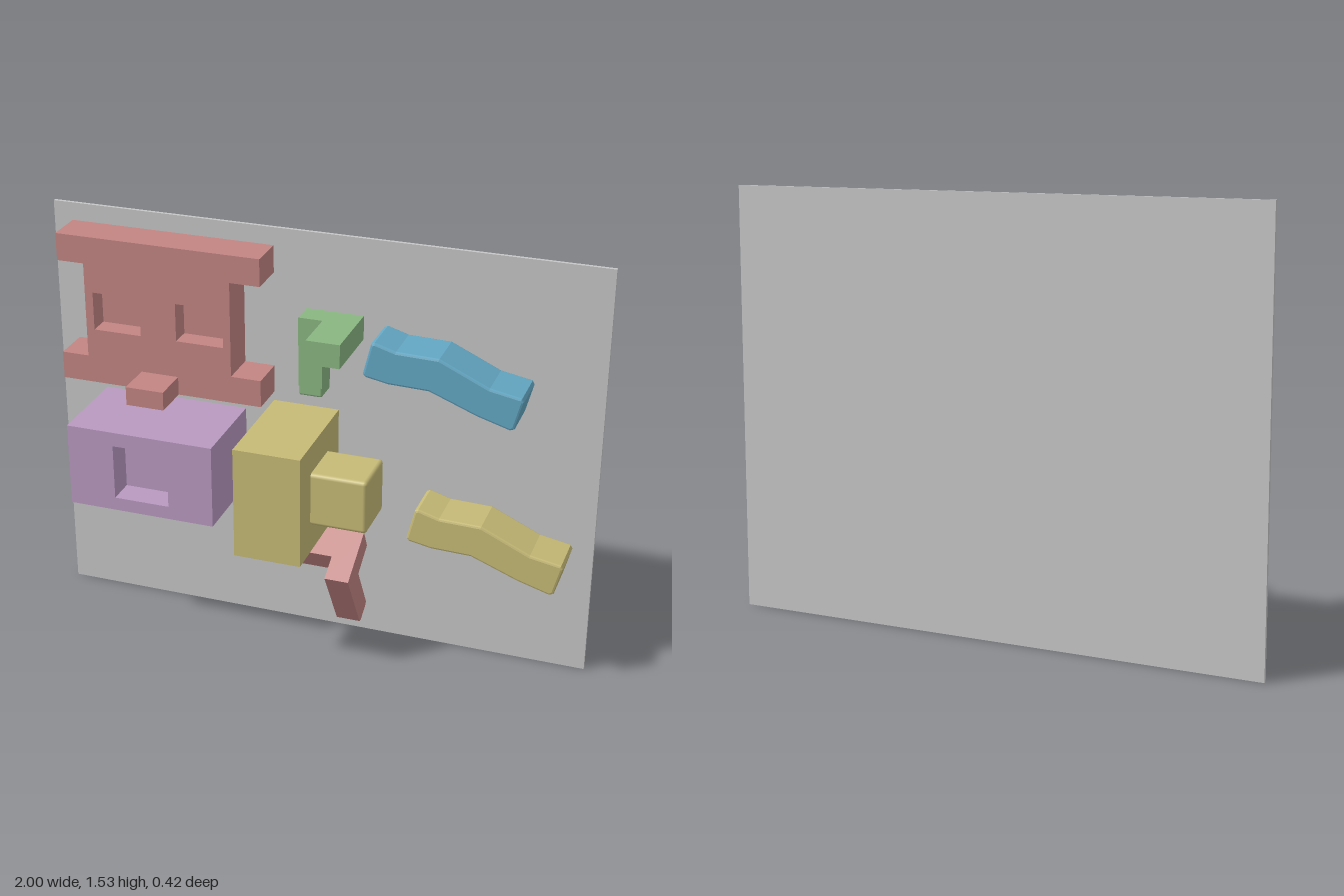
import * as THREE from 'three';
import { RoundedBoxGeometry } from 'three/addons/geometries/RoundedBoxGeometry.js';

const mat = (name, color) => {
  const m = new THREE.MeshStandardMaterial({ color });
  m.name = name;
  return m;
};

const BACK = -0.2; // face of the board that the parts sit on

const toShape = (pts) => new THREE.Shape(pts.map(([x, y]) => new THREE.Vector2(x, y)));
const rect = (x0, x1, y0, y1) => [[x0, y0], [x1, y0], [x1, y1], [x0, y1]];

export function createModel() {
  const model = new THREE.Group();
  const grey = mat('board grey', 0xc6c6c6);
  const red = mat('dusty red', 0xc28583);
  const purple = mat('soft purple', 0xb899c0);
  const yellow = mat('mustard yellow', 0xc6ba76);
  const green = mat('leaf green', 0x8ab682);
  const blue = mat('sky blue', 0x64a8c4);

  const add = (name, geo, material, parent = model) => {
    const mesh = new THREE.Mesh(geo, material);
    mesh.name = name;
    parent.add(mesh);
    return mesh;
  };
  const group = (name) => {
    const g = new THREE.Group();
    g.name = name;
    model.add(g);
    return g;
  };
  // Box given by its limits on each axis, with optional rounded edges
  const box = (name, [x0, x1], [y0, y1], [z0, z1], material, parent, r = 0) => {
    const size = [x1 - x0, y1 - y0, z1 - z0];
    const geo = r ? new RoundedBoxGeometry(...size, 2, r) : new THREE.BoxGeometry(...size);
    geo.translate((x0 + x1) / 2, (y0 + y1) / 2, (z0 + z1) / 2);
    return add(name, geo, material, parent);
  };
  // Outline in x/y extruded from z0 to z1, with optional holes
  const plate = (name, pts, holes, z0, z1, material, parent) => {
    const shape = toShape(pts);
    shape.holes = holes.map((h) => new THREE.Path(toShape(h).getPoints()));
    const geo = new THREE.ExtrudeGeometry(shape, { depth: z1 - z0, bevelEnabled: false });
    geo.translate(0, 0, z0);
    return add(name, geo, material, parent);
  };
  // Solid slab with a pocketed layer in front of it
  const pocketed = (name, pts, pockets, floor, front, material, parent) => {
    plate(name + 'Back', pts, [], BACK, floor, material, parent);
    plate(name + 'Front', pts, pockets, floor, front, material, parent);
  };

  // Backing board
  box('backBoard', [-1, 1], [0, 1.535], [-0.212, BACK], grey);

  // Torso: wide bars at top and bottom, two pockets and a peg
  const torso = group('torso');
  pocketed('torso', [
    [-0.93, 0.92], [-0.175, 0.92], [-0.175, 1.02], [-0.285, 1.02], [-0.285, 1.37], [-0.175, 1.37],
    [-0.175, 1.47], [-0.93, 1.47], [-0.93, 1.37], [-0.83, 1.37], [-0.83, 1.02], [-0.93, 1.02],
  ], [rect(-0.8, -0.622, 1.125, 1.265), rect(-0.488, -0.312, 1.125, 1.265)], -0.135, -0.06, red, torso);
  box('torsoPeg', [-0.625, -0.485], [0.92, 0.988], [-0.06, 0.077], red, torso);

  // Purple block with a square pocket
  pocketed('socketBlock', rect(-0.83, -0.285, 0.528, 0.835),
    [rect(-0.657, -0.452, 0.577, 0.782)], 0.04, 0.14, purple, group('socketBlock'));

  // Yellow block with a rounded side knob
  const knobBlock = group('knobBlock');
  box('knobBlockBody', [-0.177, 0.065], [0.473, 0.885], [BACK, 0.212], yellow, knobBlock);
  box('sideKnob', [0.045, 0.267], [0.58, 0.78], [-0.09, 0.105], yellow, knobBlock, 0.014);

  // Green bent arm: post at the back, bar reaching forward
  const greenArm = group('greenArm');
  box('greenPost', [-0.055, 0.032], [1.0, 1.255], [BACK, -0.112], green, greenArm);
  box('greenPostTip', [-0.055, 0.032], [0.964, 1.02], [BACK, -0.112], green, greenArm, 0.008);
  box('greenBar', [0.032, 0.152], [1.168, 1.255], [BACK, 0.062], green, greenArm);

  // Red bent arm: side profiles (z, y) extruded along x
  const redArm = group('redArm');
  const sideProfile = (name, pts, x0, x1) => {
    const geo = new THREE.ExtrudeGeometry(toShape(pts.map(([z, y]) => [-z, y])),
      { depth: x1 - x0, bevelEnabled: false });
    geo.rotateY(Math.PI / 2).translate(x0, 0, 0);
    add(name, geo, red, redArm);
  };
  sideProfile('redArmBar', [[-0.058, 0.37], [-0.161, 0.43], [BACK, 0.355], [-0.103, 0.292]], -0.082, 0.09);
  sideProfile('redArmLeg', [
    [0.022, 0.323], [-0.161, 0.43], [BACK, 0.355], [-0.1, 0.292],
    [BACK, 0.117], [-0.194, 0.105], [-0.138, 0.073], [-0.125, 0.075],
  ], 0.09, 0.178);

  // Two wavy limbs sharing one outline
  const limb = [
    [0.2, 1.115], [0.21, 1.104], [0.29, 1.089], [0.433, 1.085], [0.6, 1.02], [0.715, 0.986], [0.73, 0.992],
    [0.757, 1.095], [0.75, 1.108], [0.64, 1.128], [0.465, 1.208], [0.315, 1.212], [0.24, 1.234], [0.228, 1.228],
  ];
  const bevel = 0.008;
  const limbGeo = new THREE.ExtrudeGeometry(toShape(limb), {
    depth: 0.165 - 2 * bevel, bevelThickness: bevel, bevelSize: bevel, bevelOffset: -bevel, bevelSegments: 2,
  });
  limbGeo.translate(0, 0, BACK + bevel);
  add('blueLimb', limbGeo, blue);
  add('yellowLimb', limbGeo, yellow).position.set(0.17, -0.604, 0);

  return model;
}
